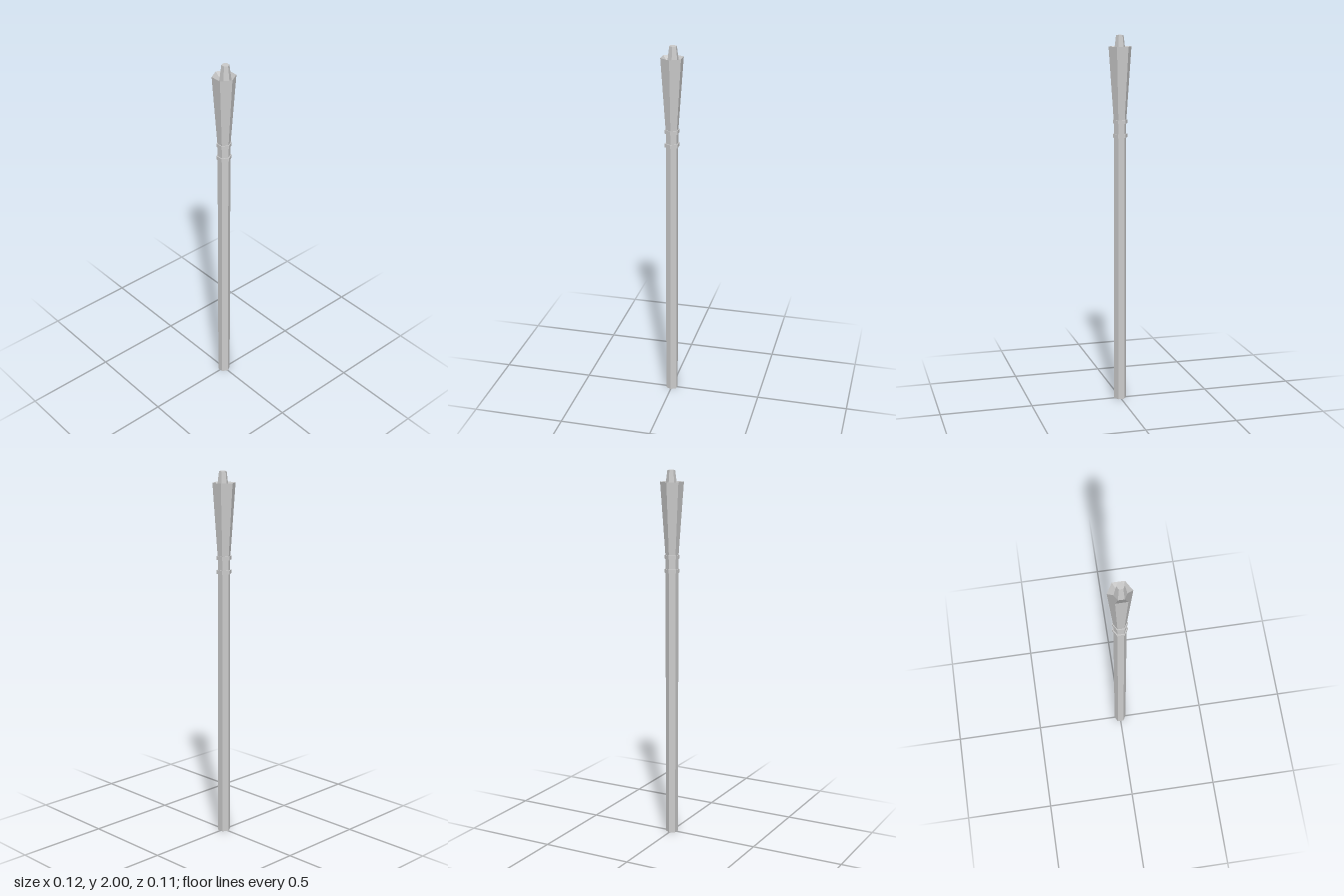
import * as THREE from 'three';

const SIDES = 6;

export function createModel() {
  const group = new THREE.Group();
  group.name = 'torch';
  const material = new THREE.MeshStandardMaterial({ color: 0xcccccc, flatShading: true });

  // Hexagonal turned part from [radius, height] pairs, corners on the x axis
  const turned = (name, profile) => {
    const points = profile.map(([r, y]) => new THREE.Vector2(r, y));
    const geometry = new THREE.LatheGeometry(points, SIDES, Math.PI / 2);
    const mesh = new THREE.Mesh(geometry, material);
    mesh.name = name;
    group.add(mesh);
    return geometry;
  };

  // Long straight handle
  turned('shaft', [[0, 0], [0.034, 0], [0.034, 1.56], [0, 1.56]]);

  // Two raised collars below the head
  [['lowerBand', 1.46], ['upperBand', 1.535]].forEach(([name, y]) =>
    turned(name, [[0.033, y], [0.04, y], [0.04, y + 0.02], [0.033, y + 0.02]]));

  // Flared cup whose inside runs down to a tapered core
  const head = turned('head', [
    [0, 1.555], [0.035, 1.555], [0.0625, 1.94], // outer wall
    [0.033, 1.9], [0.0205, 2], [0, 2],          // inner slope, core, flat tip
  ]);

  // The core sits slightly off centre
  const p = head.attributes.position;
  for (let i = 0; i < p.count; i++) {
    const y = p.getY(i);
    const isCore = y > 1.95 || (y > 1.8 && y < 1.93);
    if (isCore) p.setXYZ(i, p.getX(i) + 0.003, y, p.getZ(i) - 0.006);
  }
  head.computeVertexNormals();

  return group;
}
